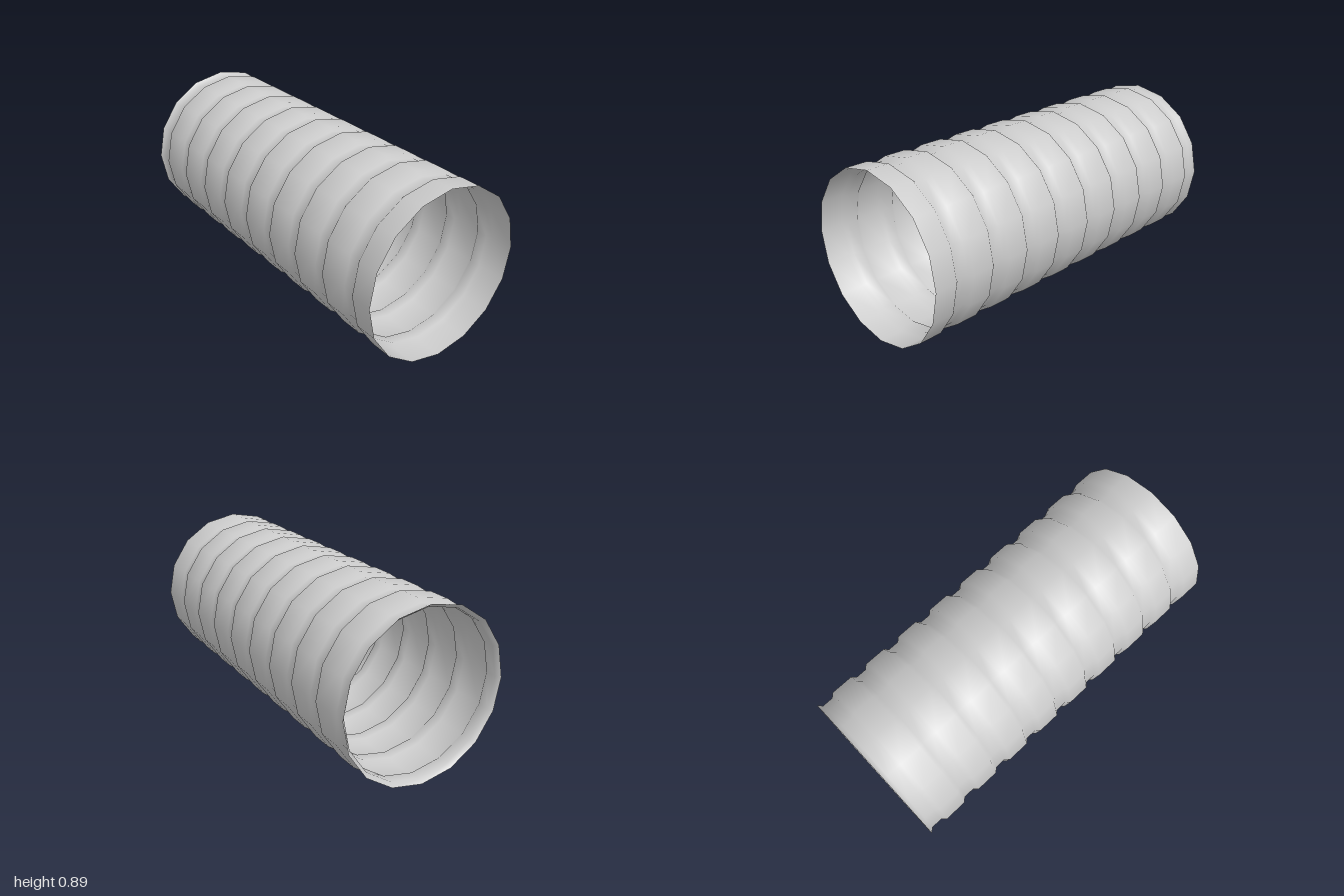
import * as THREE from 'three';

export function createModel() {
  const group = new THREE.Group();
  group.name = 'corrugatedPipe';

  const rings = 9, length = 2, pitch = length / rings;
  const crest = 0.445, trough = 0.425;

  // Profile along the pipe: each ring starts with a groove, then a flat crest
  const profile = [];
  for (let i = 0; i < rings; i++) {
    const s = -length / 2 + i * pitch;
    profile.push(
      new THREE.Vector2(crest, s),
      new THREE.Vector2(trough, s + 0.022),
      new THREE.Vector2(trough, s + 0.08),
      new THREE.Vector2(crest, s + 0.102)
    );
  }
  profile.push(new THREE.Vector2(crest, length / 2));

  // Thin open 16-sided wall, laid along x
  const geometry = new THREE.LatheGeometry(profile, 16);
  geometry.rotateZ(-Math.PI / 2);
  geometry.translate(0, crest, 0);

  const wall = new THREE.Mesh(
    geometry,
    new THREE.MeshStandardMaterial({ color: 0xcccccc, side: THREE.DoubleSide })
  );
  wall.name = 'pipeWall';
  group.add(wall);
  return group;
}
